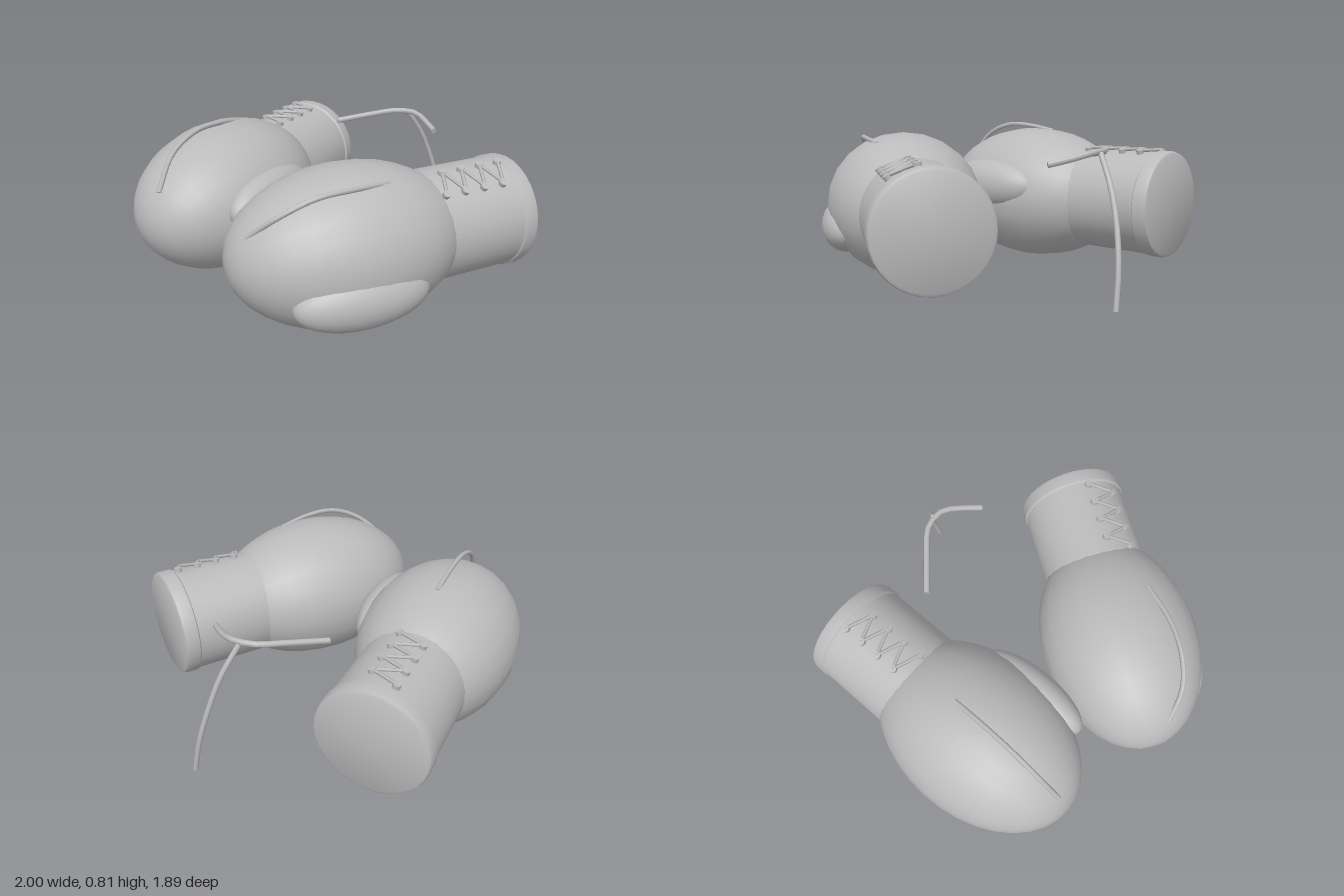
import * as THREE from 'three';
import { toCreasedNormals } from 'three/addons/utils/BufferGeometryUtils.js';

const grey = new THREE.MeshStandardMaterial({ color: 0xbbbbbb });
grey.name = 'plainGrey';

function add(parent, name, geometry) {
  const mesh = new THREE.Mesh(geometry, grey);
  mesh.name = name;
  parent.add(mesh);
  return mesh;
}

// Stretched ball, turned about y
function ellipsoid(parent, name, pos, radii, turn = 0) {
  const mesh = add(parent, name, new THREE.SphereGeometry(1, 24, 18).rotateX(Math.PI / 2));
  mesh.position.set(...pos);
  mesh.scale.set(...radii);
  mesh.rotation.y = turn;
  return mesh;
}

// Cord through the given points, closed with flat ends
function cord(parent, name, points, radius, segments = 10) {
  const path = new THREE.CatmullRomCurve3(points.map((p) => new THREE.Vector3(...p)));
  const group = new THREE.Group();
  group.name = name;
  parent.add(group);
  add(group, name + 'Strand', new THREE.TubeGeometry(path, segments, radius, 7));
  for (const t of [0, 1]) {
    const end = add(group, name + 'End', new THREE.CircleGeometry(radius, 7));
    end.position.copy(path.getPoint(t));
    const out = path.getTangent(t).multiplyScalar(t ? 1 : -1);
    end.quaternion.setFromUnitVectors(new THREE.Vector3(0, 0, 1), out);
  }
}

// Straight piece of lace between two points
function lacePiece(parent, a, b) {
  const path = new THREE.LineCurve3(a, b);
  add(parent, 'lace', new THREE.TubeGeometry(path, 1, 0.009, 6));
}

// Closed wrist cuff with a raised, rounded rim at the back
const cuffProfile = [
  [0, -0.93], [0.272, -0.93], [0.286, -0.922], [0.292, -0.905],
  [0.292, -0.85], [0.284, -0.843], [0.284, -0.33],
].map((p) => new THREE.Vector2(...p));

// Padded hand, cuff and lacing, pointing along local +z
function glove(name, x, z, turn, laceAngle) {
  const group = new THREE.Group();
  group.name = name;
  group.position.set(x, 0.4, z);
  group.rotation.y = turn;

  ellipsoid(group, 'paddedHand', [0, 0, 0], [0.418, 0.39, 0.6]);
  const cuff = new THREE.LatheGeometry(cuffProfile, 32).rotateX(Math.PI / 2);
  add(group, 'cuff', toCreasedNormals(cuff, 0.7));

  // Lacing, rolled about the cuff's axis
  const lacing = new THREE.Group();
  lacing.name = 'lacing';
  lacing.rotation.z = -laceAngle;
  group.add(lacing);
  const knots = [];
  for (let i = 0; i < 8; i++) {
    const angle = (i % 2 ? 1 : -1) * 0.24;
    const along = -0.82 + i * 0.055;
    const at = (r) => new THREE.Vector3(Math.sin(angle) * r, Math.cos(angle) * r, along);
    const stud = add(lacing, 'laceStud', new THREE.CylinderGeometry(0.02, 0.02, 0.03, 10));
    stud.position.copy(at(0.29));
    stud.rotation.z = -angle;
    knots.push(at(0.3));
  }
  for (let i = 0; i < 7; i++) lacePiece(lacing, knots[i], knots[i + 1]);
  lacePiece(lacing, new THREE.Vector3(0.03, 0.27, -0.37), new THREE.Vector3(0.03, 0.29, -0.34));
  return group;
}

export function createModel() {
  const model = new THREE.Group();
  model.name = 'boxingGloves';

  model.add(glove('rightGlove', -0.485, 0.352, 0.253, 0));
  model.add(glove('leftGlove', 0.425, 0.365, -0.349, 0.42));

  // Thumbs
  ellipsoid(model, 'rightThumb', [-0.138, 0.47, 0.345], [0.12, 0.145, 0.32], 0.245);
  ellipsoid(model, 'leftThumb', [0.695, 0.285, 0.545], [0.135, 0.145, 0.33], -0.41);

  // Raised seams over the knuckles
  cord(model, 'rightSeam', [
    [-0.52, 0.775, 0.23], [-0.48, 0.803, 0.4], [-0.44, 0.805, 0.58],
    [-0.4, 0.735, 0.75], [-0.36, 0.58, 0.87],
  ], 0.013, 16);
  cord(model, 'leftSeam', [
    [0.62, 0.738, 0.29], [0.59, 0.757, 0.49], [0.53, 0.75, 0.66],
    [0.44, 0.68, 0.8], [0.315, 0.57, 0.88],
  ], 0.013, 16);

  // Loose cord joining the gloves, with one hanging end
  cord(model, 'looseCord', [
    [-0.315, 0.685, -0.355], [-0.2, 0.71, -0.53], [-0.11, 0.725, -0.65],
    [0, 0.725, -0.69], [0.1, 0.7, -0.66], [0.2, 0.675, -0.61],
  ], 0.016, 12);
  cord(model, 'hangingCord', [
    [-0.055, 0.72, -0.69], [-0.025, 0.58, -0.79], [0, 0.42, -0.86],
    [0.035, 0.22, -0.915], [0.065, 0.035, -0.935],
  ], 0.014);

  return model;
}
